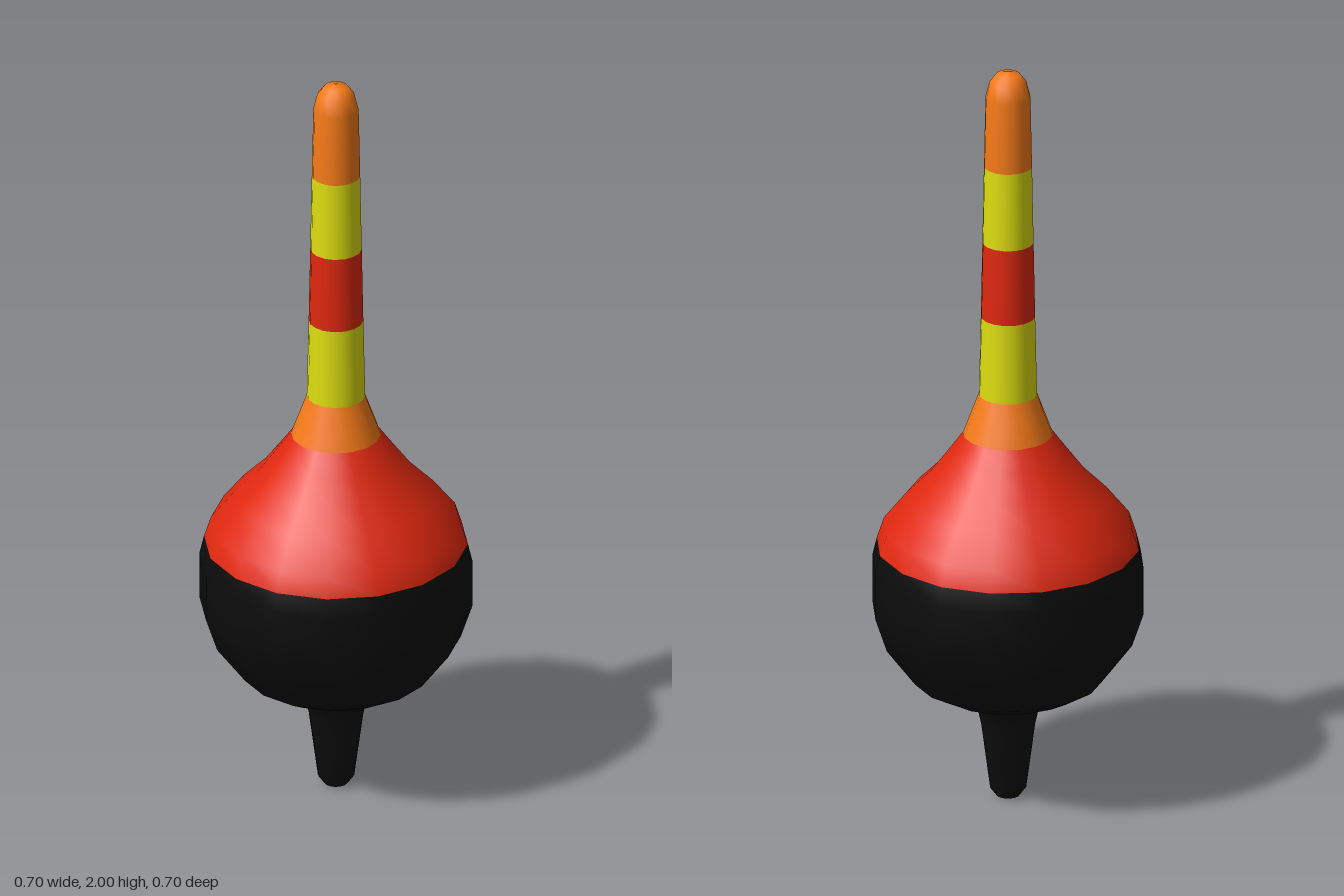
import * as THREE from 'three';

const SIDES = 16;

// Each painted section: name, colour, profile of [radius, height] from bottom to top
const SECTIONS = [
  ['lowerBody', 0x0c0c0c, [
    [0, 0], [0.03, 0.002], [0.047, 0.025], [0.07, 0.2], [0.085, 0.27], [0.185, 0.297],
    [0.245, 0.33], [0.32, 0.43], [0.35, 0.52], [0.35, 0.645], [0.338, 0.695]]],
  ['upperBody', 0xe0280f, [
    [0.338, 0.695], [0.32, 0.75], [0.26, 0.825], [0.2, 0.885], [0.155, 0.945], [0.115, 1.0]]],
  ['neck', 0xf57a18, [[0.115, 1.0], [0.075, 1.11]]],
  ['lowerYellowBand', 0xdede10, [[0.075, 1.11], [0.07, 1.325]]],
  ['redBand', 0xe0280f, [[0.07, 1.325], [0.066, 1.53]]],
  ['upperYellowBand', 0xdede10, [[0.066, 1.53], [0.062, 1.74]]],
  ['tip', 0xf57a18, [
    [0.062, 1.74], [0.058, 1.93], [0.048, 1.97], [0.03, 1.994], [0, 2]]],
];

export function createModel() {
  const float = new THREE.Group();
  float.name = 'fishingFloat';
  for (const [name, color, profile] of SECTIONS) {
    const points = profile.map(([r, y]) => new THREE.Vector2(r, y));
    const mesh = new THREE.Mesh(
      new THREE.LatheGeometry(points, SIDES),
      new THREE.MeshStandardMaterial({ color })
    );
    mesh.name = name;
    float.add(mesh);
  }
  return float;
}
